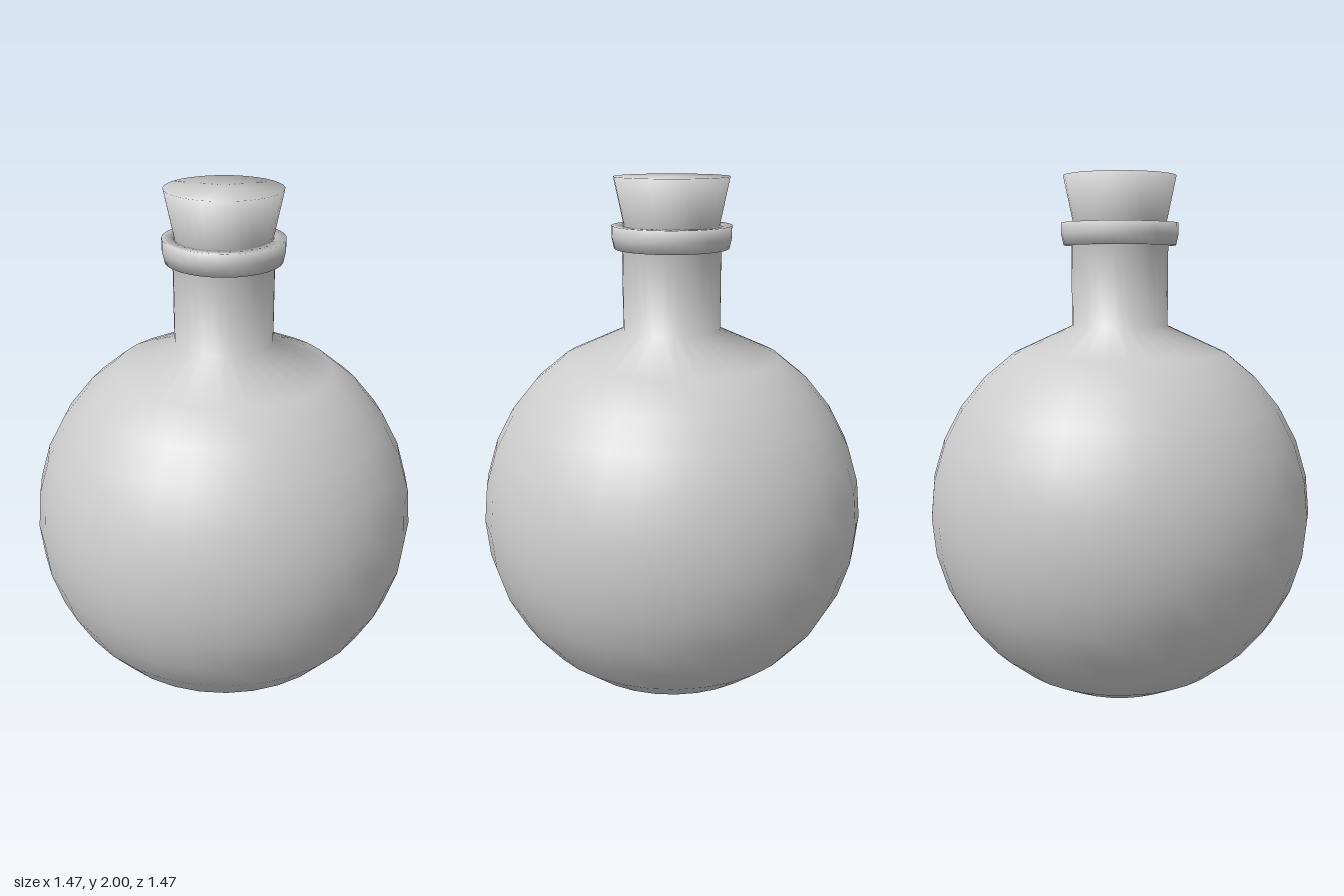
import * as THREE from 'three';

const SIDES = 32;
const material = new THREE.MeshStandardMaterial({ color: 0xcccccc, side: THREE.DoubleSide });

// Turn a list of [radius, height] pairs about the y axis
function turned(name, profile) {
  const points = profile.map(([r, y]) => new THREE.Vector2(r, y));
  const mesh = new THREE.Mesh(new THREE.LatheGeometry(points, SIDES), material);
  mesh.name = name;
  return mesh;
}

export function createModel() {
  const group = new THREE.Group();
  group.name = 'corkedFlask';

  // Round body: a sphere cut off below the shoulder
  const radius = 0.733;
  const profile = [];
  for (let i = 0; i <= 13; i++) {
    const a = (i * Math.PI) / 16;
    profile.push([radius * Math.sin(a), radius * (1 - Math.cos(a))]);
  }

  // Shoulder, neck, rolled lip and the inside of the mouth
  profile.push(
    [0.183, 1.445], [0.183, 1.745],
    [0.212, 1.745], [0.221, 1.785], [0.221, 1.828],
    [0.178, 1.828], [0.165, 1.7]
  );
  group.add(turned('flask', profile));

  // Tapered stopper reaching down into the neck
  group.add(turned('stopper', [
    [0, 1.7], [0.15, 1.7], [0.176, 1.828], [0.212, 2], [0, 2],
  ]));

  return group;
}
